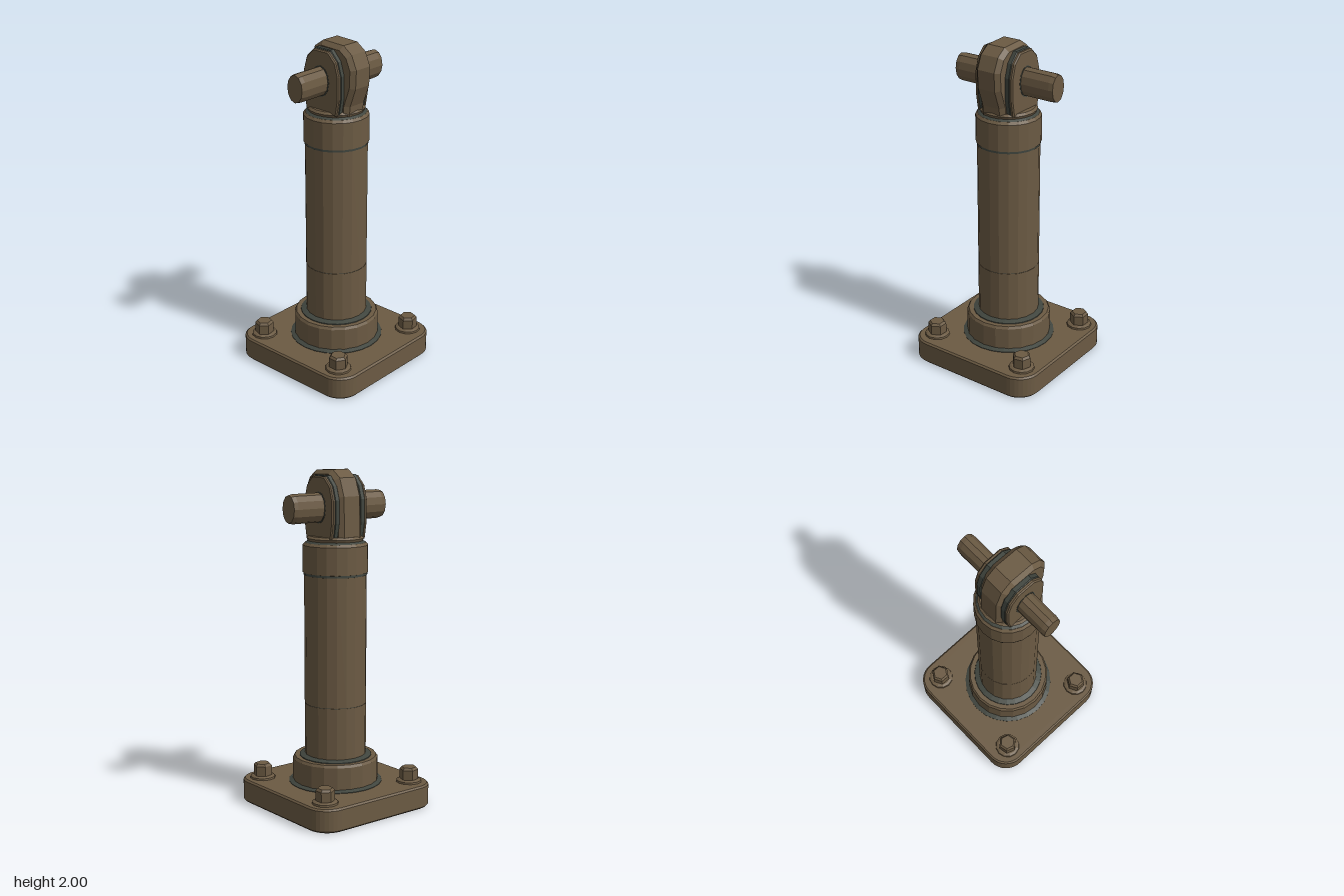
import * as THREE from 'three';

export function createModel() {
  const root = new THREE.Group();
  const bronze = new THREE.MeshStandardMaterial({ color: 0x6b5a43, flatShading: true });
  bronze.name = 'weathered bronze';
  const grime = new THREE.MeshStandardMaterial({ color: 0x40453e, flatShading: true });
  grime.name = 'dark grey seam';

  function add(name, geometry, material = bronze, x = 0, y = 0, z = 0, parent = root) {
    const mesh = new THREE.Mesh(geometry, material);
    mesh.name = name;
    mesh.position.set(x, y, z);
    parent.add(mesh);
    return mesh;
  }
  const lathe = (pts, sides = 20) =>
    new THREE.LatheGeometry(pts.map(([r, y]) => new THREE.Vector2(r, y)), sides);
  const polygon = pts => new THREE.Shape(pts.map(([x, y]) => new THREE.Vector2(x, y)));
  // Bevelled slab centred on z = 0; the outline is its full size
  function slab(shape, thickness, bevel, bevelDepth = bevel) {
    const g = new THREE.ExtrudeGeometry(shape, {
      depth: thickness - 2 * bevelDepth, bevelEnabled: true, bevelSegments: 1,
      bevelSize: bevel, bevelOffset: -bevel, bevelThickness: bevelDepth, curveSegments: 4,
    });
    return g.translate(0, 0, bevelDepth - thickness / 2);
  }

  // Square base plate with rounded corners
  const h = 0.435, r = 0.13, c = h - r;
  const plate = new THREE.Shape();
  [[c, c], [-c, c], [-c, -c], [c, -c]].forEach(([x, y], i) =>
    plate.absarc(x, y, r, i * Math.PI / 2, (i + 1) * Math.PI / 2, false));
  plate.closePath();
  add('basePlate', slab(plate, 0.14, 0.01).rotateX(-Math.PI / 2), bronze, 0, 0.07, 0);

  // Flange and column
  add('flangeSeam', lathe([[0.28, 0.135], [0.28, 0.143], [0.25, 0.155]], 24), grime);
  add('flange', lathe([[0.255, 0.14], [0.255, 0.285], [0.245, 0.3], [0.17, 0.3]]));
  add('columnSeam', lathe([[0.217, 0.298], [0.215, 0.304], [0.18, 0.315]], 24), grime);
  add('lowerSleeve', lathe([[0.183, 0.3], [0.183, 0.622], [0.17, 0.622]]));
  add('sleeveSeam', lathe([[0.181, 0.618], [0.181, 0.629]]), grime);
  add('column', lathe([[0.17, 0.625], [0.183, 0.625], [0.183, 1.4]]));
  add('collarSeam', lathe([[0.175, 1.388], [0.187, 1.391], [0.187, 1.404]]), grime);
  add('collar', lathe([[0.17, 1.4], [0.191, 1.405], [0.191, 1.565], [0.178, 1.58], [0.13, 1.58]]));
  add('neckSeam', lathe([[0.178, 1.579], [0.158, 1.592]]), grime);
  add('neck', lathe([[0.155, 1.575], [0.168, 1.605], [0.155, 1.618], [0, 1.618]]));

  // Eye at the top, slightly fuller on its left side
  const eye = polygon([[-0.15, 1.59], [0.155, 1.59], [0.16, 1.65], [0.2, 1.76], [0.205, 1.87],
    [0.17, 1.95], [0.11, 1.993], [-0.04, 2], [-0.105, 1.955], [-0.142, 1.85]]);
  add('eye', slab(eye, 0.164, 0.025, 0.025), bronze, 0, 0, 0.005);

  // Arched cheek plates with a dark spacer behind each
  const arch = (w, top) => polygon([[-0.87 * w, 1.6], [0.87 * w, 1.6], [w, 1.7], [w, 1.83],
    [0.82 * w, 1.91], [0.42 * w, top], [-0.42 * w, top], [-0.82 * w, 1.91], [-w, 1.83], [-w, 1.7]]);
  for (const [side, s] of [['front', 1], ['back', -1]]) {
    add(side + 'Spacer', slab(arch(0.134, 1.968), 0.035, 0.005), grime, 0.004, 0, 0.005 + s * 0.093);
    add(side + 'Cheek', slab(arch(0.132, 1.962), 0.025, 0.007), bronze, 0.004, 0, 0.005 + s * 0.117);
    const ring = new THREE.CylinderGeometry(1, 1, 0.006, 12).rotateX(Math.PI / 2).scale(0.067, 0.092, 1);
    add(side + 'PinSeam', ring, grime, 0, 1.785, 0.005 + s * 0.128);
  }

  // Oval cross pin
  const pin = lathe([[0, -0.337], [0.94, -0.337], [1, -0.31], [1, 0.31], [0.94, 0.337], [0, 0.337]], 12);
  add('crossPin', pin.scale(0.06, 1, 0.085).rotateX(Math.PI / 2), bronze, 0, 1.785, 0);

  // Corner bolts with washers
  const washer = lathe([[0.077, 0], [0.075, 0.012], [0.06, 0.019], [0, 0.019]], 12);
  const head = lathe([[0.056, 0], [0.056, 0.078], [0.044, 0.092], [0, 0.092]], 6);
  for (const x of [-0.306, 0.306]) for (const z of [-0.32, 0.32]) {
    const bolt = new THREE.Group();
    bolt.name = 'bolt';
    bolt.position.set(x, 0.139, z);
    add('washer', washer, bronze, 0, 0, 0, bolt);
    add('hexHead', head, bronze, 0, 0, 0, bolt).rotation.y = x * z > 0 ? 0.5 : 0.2;
    root.add(bolt);
  }
  return root;
}
